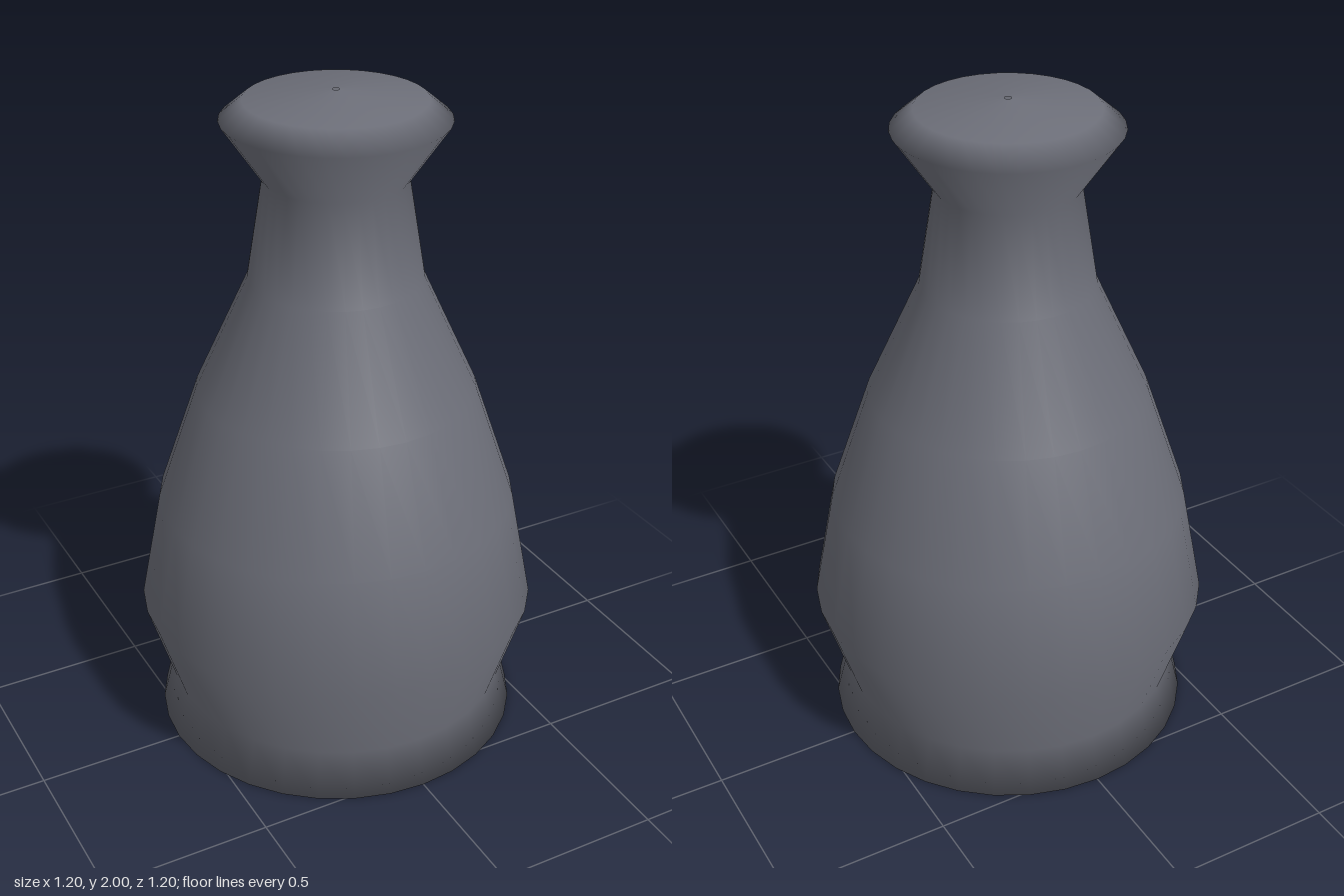
import * as THREE from 'three';

export function createModel() {
  const model = new THREE.Group();
  model.name = 'bottle';

  // Profile [radius, height] from underside to domed top, with pinholes on the axis
  const profile = [
    [0.01, 0], [0.556, 0],                   // flat underside and foot
    [0.52, 0.145],                           // waist above the foot
    [0.602, 0.41], [0.535, 0.755],           // belly
    [0.413, 1.11], [0.255, 1.455],           // shoulder
    [0.207, 1.75],                           // neck
    [0.323, 1.92], [0.257, 1.975],           // flared lip
    [0.01, 2],                               // shallow domed cap
  ].map(([r, y]) => new THREE.Vector2(r, y));

  // Smooth turned body, 32 sides
  const body = new THREE.Mesh(
    new THREE.LatheGeometry(profile, 32),
    new THREE.MeshStandardMaterial({ color: 0x6c6e78, side: THREE.DoubleSide })
  );
  body.name = 'bottleBody';
  model.add(body);

  return model;
}
